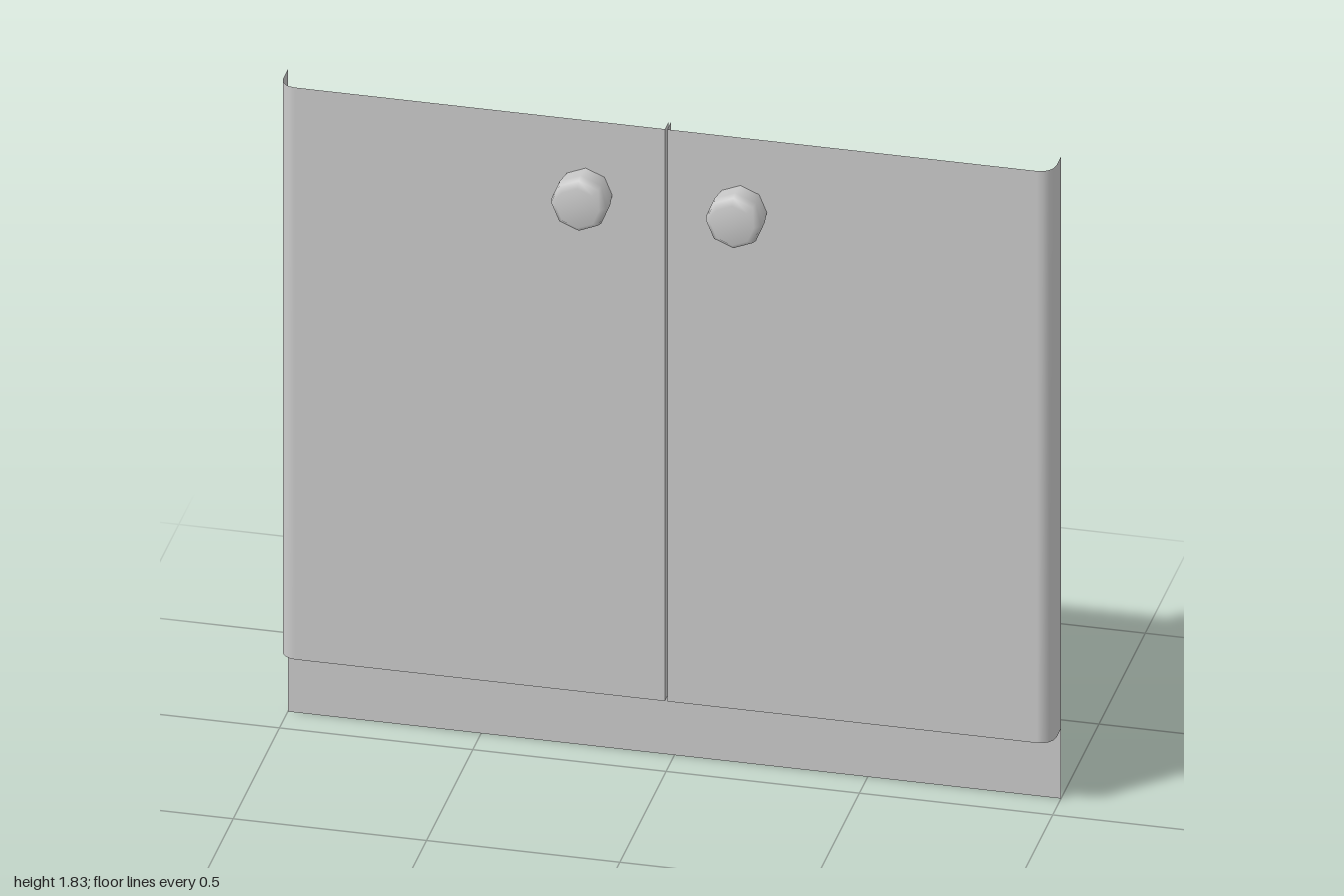
import * as THREE from 'three';

const material = new THREE.MeshStandardMaterial({ color: 0xcccccc, side: THREE.DoubleSide });
const BASE = 0.2, TOP = 1.83, BACK = -0.09;

// Upright open sheet following a plan profile of [x, z] points, left to right
function sheet(name, profile, y0, y1) {
  const geometry = new THREE.PlaneGeometry(1, 1, profile.length - 1, 1);
  const pos = geometry.attributes.position;
  for (let i = 0; i < pos.count; i++) {
    const [x, z] = profile[i % profile.length];
    pos.setXYZ(i, x, i < profile.length ? y1 : y0, z);
  }
  geometry.computeVertexNormals();
  const mesh = new THREE.Mesh(geometry, material);
  mesh.name = name;
  return mesh;
}

// Front face with a rounded outer corner that turns back along the side
function doorProfile(side) {
  const r = 0.04, steps = 4;
  const points = [[0.003 * side, 0]];
  for (let i = 0; i <= steps; i++) {
    const a = (i / steps) * Math.PI / 2;
    points.push([side * (1 - r + r * Math.sin(a)), -r + r * Math.cos(a)]);
  }
  points.push([side, BACK]);
  return side > 0 ? points : points.reverse();
}

// Eight-sided hollow knob, tapered towards the back with a bevelled front
function knob(name, x) {
  const profile = [[0.058, -0.08], [0.076, 0.055], [0.071, 0.075], [0.056, 0.09], [0, 0.09]]
    .map(([r, z]) => new THREE.Vector2(r, z));
  const mesh = new THREE.Mesh(new THREE.LatheGeometry(profile, 8), material);
  mesh.name = name;
  mesh.rotation.x = Math.PI / 2;
  mesh.position.set(x, 1.625, 0);
  return mesh;
}

export function createModel() {
  const group = new THREE.Group();
  group.name = 'cabinetFront';

  for (const side of [-1, 1]) {
    const label = side > 0 ? 'left' : 'right';
    const door = new THREE.Group();
    door.name = label + 'Door';
    door.add(sheet(label + 'DoorPanel', doorProfile(side), BASE, TOP));

    // Short lip turned back at the centre seam
    const x = 0.003 * side;
    const lip = [[x, 0], [x, -0.04]];
    door.add(sheet(label + 'DoorLip', side < 0 ? lip : lip.reverse(), BASE, TOP));

    door.add(knob(label + 'Knob', 0.2 * side - 0.008));
    group.add(door);
  }

  // Recessed kick plate under the doors
  group.add(sheet('kickPlate', [[-1, BACK], [1, BACK]], 0, BASE));
  return group;
}
